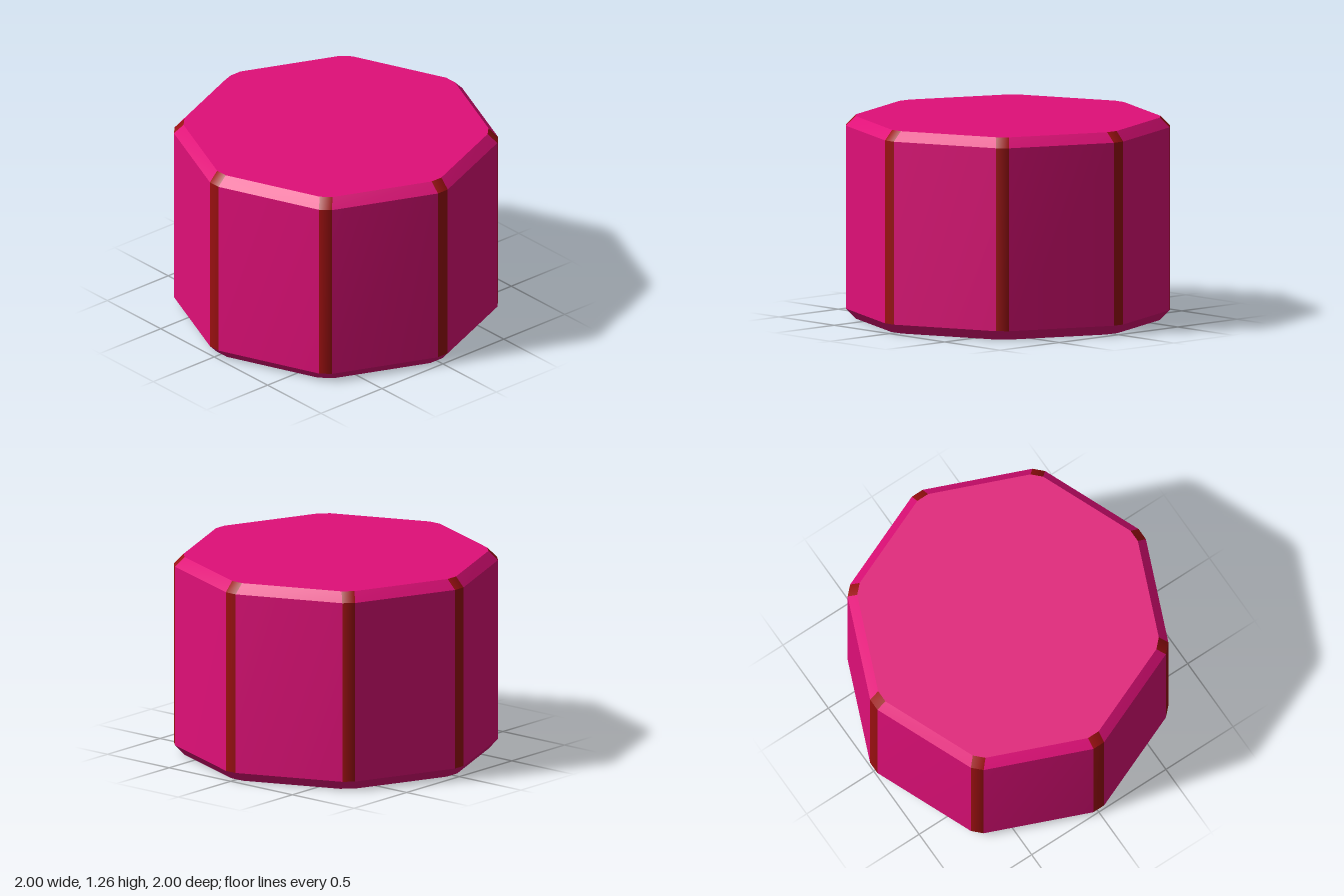
import * as THREE from 'three';

const SIDES = 8;
const pink = new THREE.MeshStandardMaterial({ color: 0xe00f78 });
const red = new THREE.MeshStandardMaterial({ color: 0x9a1010 });

// Octagon with cut corners: r = distance to each corner face, w = its half width
function ring({ r, y, w }) {
  const points = [];
  for (let i = 0; i < SIDES; i++) {
    const a = (i / SIDES) * Math.PI * 2, c = Math.cos(a), s = Math.sin(a);
    for (const t of [-w, w]) points.push(r * c - t * s, y, r * s + t * c);
  }
  return points;
}

// Band between two rings, split into corner strips and broad panels.
// Corners are shaded smoothly around the band, edges between bands stay sharp.
function band(from, to) {
  const n = SIDES * 2, strips = [], panels = [];
  for (let i = 0; i < n; i++) {
    const j = (i + 1) % n;
    (i % 2 ? panels : strips).push(i, i + n, j, j, i + n, j + n);
  }
  const full = new THREE.BufferGeometry();
  full.setAttribute('position', new THREE.Float32BufferAttribute([...ring(from), ...ring(to)], 3));
  full.setIndex([...strips, ...panels]);
  full.computeVertexNormals();
  return [strips, panels].map((index) => full.clone().setIndex(index));
}

export function createModel() {
  const group = new THREE.Group();

  // Profile from the cavity ceiling, down the inside, around the rim and up to the top
  const profile = [
    { r: 0, y: 1.01, w: 0 },
    { r: 0.75, y: 1.01, w: 0.07 },
    { r: 0.75, y: 0.06, w: 0.07 },
    { r: 0.81, y: 0, w: 0.06 },
    { r: 0.94, y: 0, w: 0.05 },
    { r: 1, y: 0.06, w: 0.04 },
    { r: 1, y: 1.2, w: 0.04 },
    { r: 0.94, y: 1.26, w: 0.04 },
    { r: 0, y: 1.26, w: 0 },
  ];
  const names = ['cavityCeiling', 'cavityWall', 'innerBevel', 'bottomRim',
    'lowerBevel', 'outerWall', 'upperBevel', 'topFace'];
  const trimmed = ['outerWall', 'upperBevel']; // bands with red corner strips

  names.forEach((name, i) => {
    const part = new THREE.Group();
    part.name = name;
    const [strips, panels] = band(profile[i], profile[i + 1]);
    const corner = new THREE.Mesh(strips, trimmed.includes(name) ? red : pink);
    corner.name = name + 'Corners';
    const panel = new THREE.Mesh(panels, pink);
    panel.name = name + 'Panels';
    part.add(corner, panel);
    group.add(part);
  });
  return group;
}
